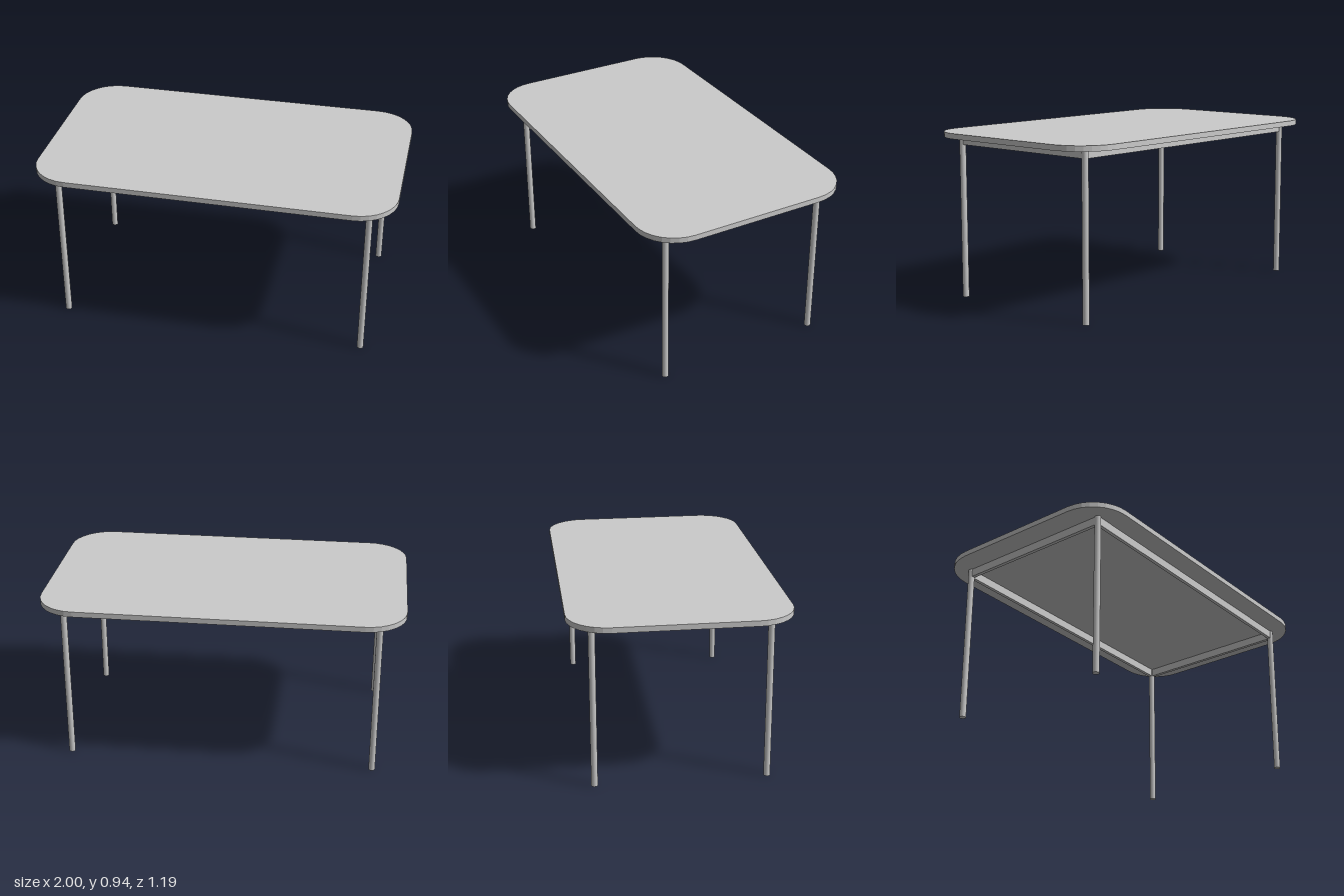
import * as THREE from 'three';

const material = new THREE.MeshStandardMaterial({ color: 0xcccccc });
const LEG_X = 0.858, LEG_Z = 0.465, LEG_R = 0.018;
const TOP_BOTTOM = 0.91, TOP_THICK = 0.03;

function addMesh(parent, name, geometry, x, y, z) {
  const mesh = new THREE.Mesh(geometry, material);
  mesh.name = name;
  mesh.position.set(x, y, z);
  parent.add(mesh);
  return mesh;
}

// Flat slab outline with coarsely rounded corners
function tableTopGeometry(hx, hz, r) {
  const shape = new THREE.Shape();
  const corners = [[1, 1], [-1, 1], [-1, -1], [1, -1]];
  corners.forEach(([sx, sz], i) => {
    const a = i * Math.PI / 2;
    shape.absarc(sx * (hx - r), sz * (hz - r), r, a, a + Math.PI / 2, false);
  });
  shape.closePath();
  const geometry = new THREE.ExtrudeGeometry(shape, {
    depth: TOP_THICK, bevelEnabled: false, curveSegments: 4,
  });
  return geometry.rotateX(-Math.PI / 2);
}

export function createModel() {
  const table = new THREE.Group();
  table.name = 'table';

  addMesh(table, 'tableTop', tableTopGeometry(1, 0.593, 0.22), 0, TOP_BOTTOM, 0);

  // Four round legs
  const legGeometry = new THREE.CylinderGeometry(LEG_R, LEG_R, TOP_BOTTOM, 16);
  for (const [sz, end] of [[1, 'front'], [-1, 'back']]) {
    for (const [sx, side] of [[1, 'Left'], [-1, 'Right']]) {
      addMesh(table, `${end}${side}Leg`, legGeometry, sx * LEG_X, TOP_BOTTOM / 2, sz * LEG_Z);
    }
  }

  // Apron rails joining the legs under the top
  const railH = 0.047, railT = 0.02, railY = TOP_BOTTOM - railH / 2;
  const longRail = new THREE.BoxGeometry(2 * LEG_X - LEG_R, railH, railT);
  const shortRail = new THREE.BoxGeometry(railT, railH, 2 * LEG_Z - LEG_R);
  addMesh(table, 'frontRail', longRail, 0, railY, LEG_Z);
  addMesh(table, 'backRail', longRail, 0, railY, -LEG_Z);
  addMesh(table, 'leftRail', shortRail, LEG_X, railY, 0);
  addMesh(table, 'rightRail', shortRail, -LEG_X, railY, 0);

  return table;
}
